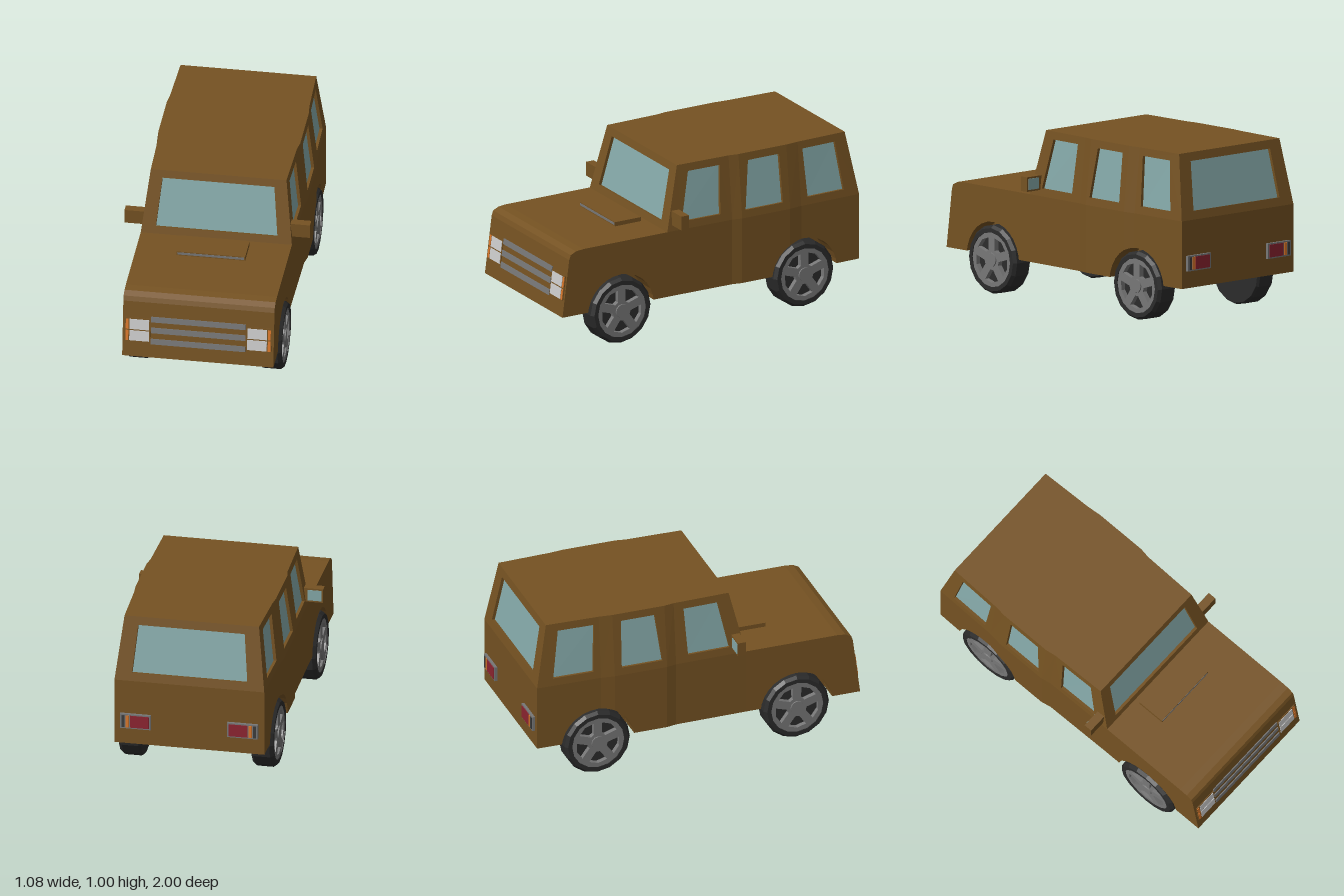
import * as THREE from 'three';

const mat = (color) => new THREE.MeshStandardMaterial({ color });
const paint = mat(0x755222), glass = mat(0x84a8a8), rubber = mat(0x2b2b2b), steel = mat(0x777777);
const dark = mat(0x3c3c3c), white = mat(0xc4c4c4), orange = mat(0xd9772b), red = mat(0x8c2430);
const V = (x, y, z) => new THREE.Vector3(x, y, z);

// Piecewise linear lookup through [position, value] pairs with falling position
function lookup(table, z) {
  for (let i = 0; i < table.length - 1; i++) {
    const [a, va] = table[i], [b, vb] = table[i + 1];
    if (z <= a && z >= b) return va + (vb - va) * (a - z) / (a - b);
  }
  return z > table[0][0] ? table[0][1] : table[table.length - 1][1];
}

// Flat-sided mesh from counter-clockwise quads
function quadMesh(name, quads, material) {
  const pos = [];
  const tri = (a, b, c) => {
    const n = b.clone().sub(a).cross(c.clone().sub(a));
    if (n.length() > 1e-9) for (const p of [a, b, c]) pos.push(p.x, p.y, p.z);
  };
  for (const [a, b, c, d] of quads) { tri(a, b, c); tri(a, c, d); }
  const g = new THREE.BufferGeometry();
  g.setAttribute('position', new THREE.Float32BufferAttribute(pos, 3));
  g.computeVertexNormals();
  return named(name, new THREE.Mesh(g, material));
}
const named = (name, obj) => { obj.name = name; return obj; };
const mirrorQuads = (quads) => quads.map((q) => q.map((p) => V(-p.x, p.y, p.z)).reverse());

function box(name, x0, x1, y0, y1, z0, z1, material) {
  const m = new THREE.Mesh(new THREE.BoxGeometry(Math.abs(x1 - x0), y1 - y0, z1 - z0), material);
  m.position.set((x0 + x1) / 2, (y0 + y1) / 2, (z0 + z1) / 2);
  return named(name, m);
}

// Wall with a recessed window: corners run counter-clockwise from bottom left
function windowWall([A, B, C, D], uv) {
  const outer = [A, B, C, D];
  const inner = uv.map(([u, v]) => A.clone().lerp(B, u).lerp(D.clone().lerp(C, u), v));
  const n = B.clone().sub(A).cross(D.clone().sub(A)).normalize();
  const deep = inner.map((p) => p.clone().addScaledVector(n, -0.018));
  const frame = [];
  for (let i = 0; i < 4; i++) {
    const j = (i + 1) % 4;
    frame.push([outer[i], outer[j], inner[j], inner[i]], [inner[i], inner[j], deep[j], deep[i]]);
  }
  return { frame, pane: [deep] };
}

const WHEEL_Z = [0.61, -0.61], ARCH = 0.22, SILL = 0.225, BELT = 0.62;
const WIDTH = [[0.3, 0.44], [-0.13, 0.445], [-0.19, 0.457], [-0.51, 0.457], [-0.59, 0.447], [-0.98, 0.44]];
const TOP = [[1, SILL], [0.955, 0.57], [0.945, 0.598], [0.91, 0.615], [0.86, BELT]];

// Lower body: cross-sections lofted from nose to tail, with wheel wells
function lowerBody() {
  const reach = Math.sqrt(ARCH ** 2 - (SILL - 0.2) ** 2);
  const zs = [...TOP, ...WIDTH].map((p) => p[0]);
  for (const c of WHEEL_Z) for (let i = 0; i <= 14; i++) zs.push(c + reach * Math.cos(Math.PI * i / 14));
  zs.sort((a, b) => b - a);
  const rings = zs.map((z) => {
    const w = lookup(WIDTH, z), top = lookup(TOP, z), k = 0.315;
    const dz = Math.min(...WHEEL_Z.map((c) => Math.abs(z - c)));
    const low = dz < reach ? Math.max(SILL, 0.2 + Math.sqrt(ARCH ** 2 - dz ** 2)) : SILL;
    return [V(w, top, z), V(w, low, z), V(k, low, z), V(k, SILL, z),
      V(-k, SILL, z), V(-k, low, z), V(-w, low, z), V(-w, top, z)];
  });
  const quads = [];
  for (let i = 0; i < rings.length - 1; i++)
    for (let j = 0; j < 8; j++) {
      const k = (j + 1) % 8;
      quads.push([rings[i][j], rings[i][k], rings[i + 1][k], rings[i + 1][j]]);
    }
  const e = rings[rings.length - 1];
  quads.push([e[1], e[6], e[7], e[0]]);
  return quadMesh('lowerBody', quads, paint);
}

// Cabin: tapered walls with recessed glass and a roof
function cabin() {
  const g = named('cabin', new THREE.Group());
  const roofX = [0.395, 0.403, 0.413, 0.413, 0.405, 0.395];
  const roofZ = [0.21, -0.13, -0.19, -0.51, -0.59, -0.91];
  const bot = WIDTH.map(([z, x]) => V(x, BELT, z));
  const top = roofX.map((x, i) => V(x, 1, roofZ[i]));
  const neg = (p) => V(-p.x, p.y, p.z);
  const shell = [], panes = [];
  const sideUV = {
    0: [[0.21, 0.12], [0.82, 0.12], [0.83, 0.88], [0.23, 0.88]],
    2: [[0.08, 0.12], [0.86, 0.12], [0.84, 0.88], [0.19, 0.88]],
    4: [[0.12, 0.12], [0.76, 0.12], [0.76, 0.88], [0.09, 0.88]],
  };
  for (let i = 0; i < 5; i++) {
    const corners = [bot[i], bot[i + 1], top[i + 1], top[i]];
    const { frame, pane } = sideUV[i] ? windowWall(corners, sideUV[i]) : { frame: [corners], pane: [] };
    shell.push(...frame, ...mirrorQuads(frame), [neg(top[i]), top[i], top[i + 1], neg(top[i + 1])]);
    panes.push(...pane, ...mirrorQuads(pane));
  }
  const rect = (u, v0, v1) => [[u, v0], [1 - u, v0], [1 - u, v1], [u, v1]];
  const front = windowWall([neg(bot[0]), bot[0], top[0], neg(top[0])], rect(0.093, 0.11, 0.88));
  const rear = windowWall([bot[5], neg(bot[5]), neg(top[5]), top[5]], rect(0.11, 0.13, 0.87));
  shell.push(...front.frame, ...rear.frame);
  g.add(quadMesh('cabinShell', shell, paint), quadMesh('sideWindows', panes, glass),
    quadMesh('windshield', front.pane, glass), quadMesh('rearWindow', rear.pane, glass));
  return g;
}

// Wheel facing +x: faceted tyre, five-spoke rim, hub
function wheel() {
  const g = named('wheel', new THREE.Group());
  const profile = [[0, -0.065], [0.19, -0.065], [0.2, -0.05], [0.2, 0.045], [0.185, 0.065],
    [0.16, 0.065], [0.16, 0.03], [0, 0.03]].map(([r, y]) => new THREE.Vector2(r, y));
  const tyreMat = mat(0x2b2b2b);
  tyreMat.flatShading = true;
  const tyre = named('tyre', new THREE.Mesh(new THREE.LatheGeometry(profile, 16), tyreMat));
  tyre.rotation.z = -Math.PI / 2;
  const shape = new THREE.Shape().absarc(0, 0, 0.161, 0, Math.PI * 2);
  for (let i = 0; i < 5; i++) {
    const a = -Math.PI / 2 + i * Math.PI * 0.4;
    const pts = [[0.06, -0.2], [0.13, -0.43], [0.135, 0], [0.13, 0.43], [0.06, 0.2]];
    shape.holes.push(new THREE.Path(pts.map(([r, t]) =>
      new THREE.Vector2(r * Math.cos(a + t), r * Math.sin(a + t)))));
  }
  const rim = named('rim', new THREE.Mesh(
    new THREE.ExtrudeGeometry(shape, { depth: 0.03, bevelEnabled: false, curveSegments: 16 }), steel));
  rim.rotation.y = Math.PI / 2;
  rim.position.x = 0.03;
  const hub = named('hub', new THREE.Mesh(new THREE.CylinderGeometry(0.04, 0.045, 0.035, 12), steel));
  hub.rotation.z = -Math.PI / 2;
  hub.position.x = 0.05;
  g.add(tyre, rim, hub);
  return g;
}

// Grille bars and headlights on the sloping nose; local y runs up the slope
function noseParts() {
  const g = named('nose', new THREE.Group());
  g.position.set(0, SILL, 1);
  g.rotation.x = -Math.atan(0.045 / 0.345);
  for (const y of [0.327, 0.398, 0.467])
    g.add(box('grilleBar', -0.275, 0.275, y - SILL - 0.016, y - SILL + 0.018, -0.01, 0.006, steel));
  for (const s of [-1, 1]) {
    g.add(box('headlightFrame', s * 0.279, s * 0.426, 0.096, 0.246, -0.01, 0.005, paint));
    for (const y of [0.102, 0.174]) {
      g.add(box('headlight', s * 0.286, s * 0.4, y, y + 0.064, -0.01, 0.008, white));
      g.add(box('frontIndicator', s * 0.406, s * 0.422, y, y + 0.064, -0.01, 0.008, orange));
    }
  }
  return g;
}

export function createModel() {
  const car = named('offRoadCar', new THREE.Group());
  car.add(lowerBody(), cabin(), noseParts());

  // Hood scoop with its intake slot
  car.add(box('hoodScoop', -0.2, 0.2, 0.61, 0.645, 0.335, 0.508, paint));
  car.add(box('scoopIntake', -0.193, 0.193, 0.626, 0.64, 0.49, 0.51, steel));

  for (const s of [-1, 1]) {
    // Wheels
    for (const z of WHEEL_Z) {
      const w = wheel();
      w.position.set(s * 0.39, 0.2, z);
      if (s < 0) w.rotation.y = Math.PI;
      car.add(w);
    }
    // Door mirrors with rear-facing glass
    car.add(box('doorMirror', s * 0.41, s * 0.54, 0.655, 0.74, 0.215, 0.265, paint));
    car.add(box('mirrorGlass', s * 0.45, s * 0.53, 0.665, 0.73, 0.212, 0.22, glass));
    // Tail lights
    car.add(box('tailLightHousing', s * 0.225, s * 0.405, 0.325, 0.415, -0.996, -0.97, steel));
    car.add(box('brakeLight', s * 0.235, s * 0.345, 0.333, 0.407, -1, -0.98, red));
    car.add(box('rearIndicator', s * 0.352, s * 0.37, 0.333, 0.407, -1, -0.98, orange));
    car.add(box('reverseLight', s * 0.377, s * 0.395, 0.333, 0.407, -1, -0.98, dark));
  }
  return car;
}
